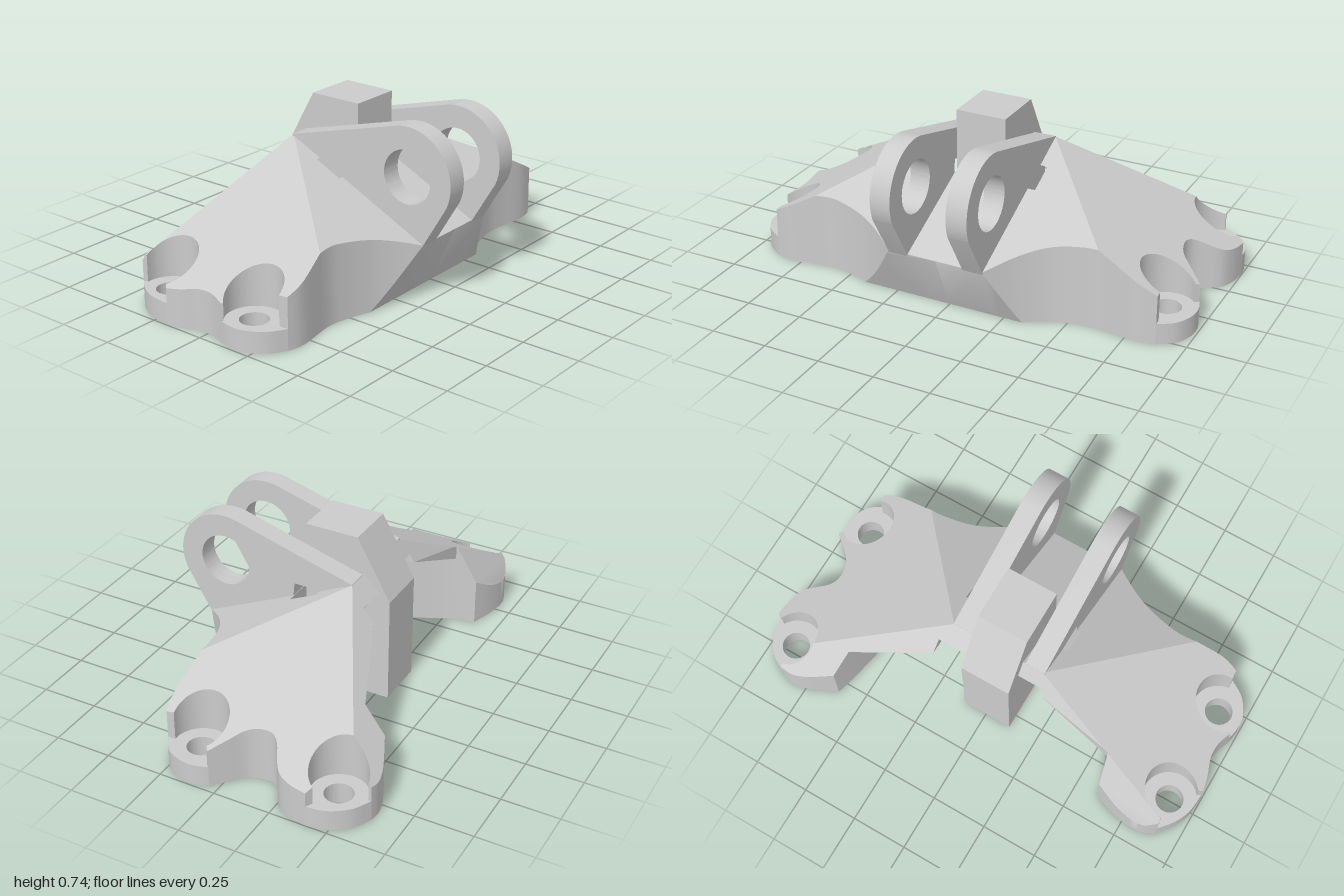
import * as THREE from 'three';
import { toCreasedNormals } from 'three/addons/utils/BufferGeometryUtils.js';

const V = (x, y) => new THREE.Vector2(x, y);
const material = new THREE.MeshStandardMaterial({ color: 0xcccccc });
const pts = (list) => list.map(([x, z]) => V(x, z));
const smooth = (list, n = 4) => new THREE.SplineCurve(pts(list)).getPoints((list.length - 1) * n);
// planes are [a, b, c], meaning y = a + b x + c z
const at = (p, v) => p[0] + p[1] * v.x + p[2] * v.y;

// keep the part of an open or closed point list where f >= 0
function clip(poly, f) {
  const out = [];
  poly.forEach((p, i) => {
    const q = poly[(i + 1) % poly.length], a = f(p), b = f(q);
    if (a >= 0) out.push(p);
    if ((a > 0 && b < 0) || (a < 0 && b > 0)) out.push(p.clone().lerp(q, a / (a - b)));
  });
  return out;
}

// solid over a plan outline, between the highest of the bottom planes and the lowest of the top planes
function slab(contour, tops, bottoms, holes = []) {
  const top = (v) => Math.min(...tops.map((p) => at(p, v)));
  const bot = (v) => Math.min(top(v), Math.max(...bottoms.map((p) => at(p, v))));
  const cuts = [];
  for (const set of [tops, bottoms])
    set.forEach((p, i) => set.slice(i + 1).forEach((q) => cuts.push((v) => at(p, v) - at(q, v))));
  const pos = [];
  const tri = (...c) => c.forEach(([v, y]) => pos.push(v.x, y, v.y));

  contour = contour.filter((p, i) => p.distanceTo(contour[(i + 1) % contour.length]) > 1e-4);
  if (THREE.ShapeUtils.isClockWise(contour)) contour.reverse();
  holes.forEach((h) => { if (!THREE.ShapeUtils.isClockWise(h)) h.reverse(); });
  const all = [contour, ...holes].flat();

  // top and bottom skins, folded along the lines where planes meet
  for (const f of THREE.ShapeUtils.triangulateShape(contour, holes)) {
    let t = f.map((i) => all[i]);
    if (THREE.ShapeUtils.area(t) < 0) t.reverse();
    let parts = [t];
    for (const c of cuts) parts = parts.flatMap((p) => [clip(p, c), clip(p, (v) => -c(v))]);
    for (const p of parts) {
      for (let i = 1; i < p.length - 1; i++) {
        const [a, b, c] = [p[0], p[i], p[i + 1]];
        if (Math.abs(THREE.ShapeUtils.area([a, b, c])) < 1e-9) continue;
        tri([a, top(a)], [c, top(c)], [b, top(b)]);
        tri([a, bot(a)], [b, bot(b)], [c, bot(c)]);
      }
    }
  }
  // side walls
  for (const ring of [contour, ...holes]) {
    ring.forEach((p, i) => {
      const q = ring[(i + 1) % ring.length], stops = [0, 1];
      for (const c of cuts) {
        const a = c(p), b = c(q);
        if (a * b < 0) stops.push(a / (a - b));
      }
      stops.sort((a, b) => a - b);
      for (let k = 0; k < stops.length - 1; k++) {
        const u = p.clone().lerp(q, stops[k]), w = p.clone().lerp(q, stops[k + 1]);
        tri([u, bot(u)], [u, top(u)], [w, top(w)]);
        tri([u, bot(u)], [w, top(w)], [w, bot(w)]);
      }
    });
  }
  const g = new THREE.BufferGeometry();
  g.setAttribute('position', new THREE.Float32BufferAttribute(pos, 3));
  return toCreasedNormals(g, 0.5);
}

// inner wall of a bolt pocket, from the first to the last point of the open outer edge
function pocketArc(edge, c, r) {
  const ang = (p) => Math.atan2(p.y - c.y, p.x - c.x);
  const turn = (a) => THREE.MathUtils.euclideanModulo(a, 2 * Math.PI);
  const a0 = ang(edge[0]);
  let sweep = turn(ang(edge[edge.length - 1]) - a0);
  if (turn(ang(edge[edge.length >> 1]) - a0) < sweep) sweep -= 2 * Math.PI;
  return Array.from({ length: 33 }, (_, i) => {
    const a = a0 + (sweep * i) / 32;
    return V(c.x + r * Math.cos(a), c.y + r * Math.sin(a));
  });
}

const wings = [
  {
    name: 'leftWing', side: 1, back: 0.99,
    front: [[0.21, 0.493], [0.32, 0.385], [0.43, 0.315], [0.55, 0.284], [0.64, 0.281], [0.79, 0.297], [0.88, 0.285]],
    lugA: [[0.88, 0.285], [0.95, 0.235], [0.985, 0.16], [0.987, 0.09], [0.97, 0.04]],
    waist: [[0.97, 0.04], [0.91, -0.015], [0.85, -0.075], [0.83, -0.15], [0.855, -0.205], [0.95, -0.265], [0.985, -0.33], [0.998, -0.41]],
    lugB: [[0.998, -0.41], [0.985, -0.49], [0.93, -0.57], [0.85, -0.615]],
    rear: [[0.85, -0.615], [0.8, -0.62], [0.73, -0.603], [0.615, -0.55]],
    inner: [[0.59, -0.45], [0.49, 0.06]],
    bolts: [[0.868, 0.135], [0.868, -0.485]],
    slot: 0.245, lip: -0.31, crown: -0.26, ceiling: 0.461,
  },
  {
    name: 'rightWing', side: -1, back: 1.85,
    front: [[-0.22, 0.493], [-0.32, 0.422], [-0.41, 0.375], [-0.52, 0.34], [-0.62, 0.328], [-0.79, 0.355], [-0.87, 0.342]],
    lugA: [[-0.87, 0.342], [-0.94, 0.295], [-0.985, 0.22], [-0.99, 0.15], [-0.978, 0.1]],
    waist: [[-0.978, 0.1], [-0.955, 0.03], [-0.955, -0.04], [-0.98, -0.115], [-0.995, -0.18]],
    lugB: [[-0.995, -0.18], [-0.985, -0.27], [-0.95, -0.345], [-0.9, -0.405]],
    rear: [[-0.9, -0.405], [-0.85, -0.43], [-0.79, -0.435], [-0.7, -0.42], [-0.605, -0.39]],
    inner: [[-0.585, -0.295], [-0.41, 0.075]],
    bolts: [[-0.885, 0.185], [-0.885, -0.265]],
    slot: 0.24, lip: -0.25, crown: -0.23, ceiling: 0.469,
  },
];

export function createModel() {
  const model = new THREE.Group();
  const add = (name, geometry, parent = model) => {
    const mesh = new THREE.Mesh(geometry, material);
    mesh.name = name;
    parent.add(mesh);
  };
  const ground = [0, 0, 0];

  for (const w of wings) {
    const s = w.side, group = new THREE.Group();
    group.name = w.name;
    model.add(group);
    const roof = [
      [0.58 - 0.47 * 0.19, 0, -0.47],
      [0.58 + 0.538 * 0.21, -0.538 * s, 0],
      [0.58 + w.back * 0.19, 0, w.back],
    ];
    const edges = [smooth(w.lugA), smooth(w.lugB)];
    const arcs = edges.map((e, i) => pocketArc(e, V(...w.bolts[i]), 0.118));

    // solid wing with the bolt pockets bitten out and an overhanging front face
    const body = [
      V(0, 0.493), ...smooth(w.front), ...arcs[0], ...smooth(w.waist), ...arcs[1],
      ...smooth(w.rear), ...pts(w.inner), V(s * w.slot, 0.08), V(0, 0.08),
    ];
    add('wingBody', slab(body, roof, [ground, [-0.815, 0, 2.174]]), group);

    // low bolt seats with through holes
    edges.forEach((e, i) => {
      const c = w.bolts[i];
      const hole = new THREE.Path().absarc(c[0], c[1], 0.06, 0, Math.PI * 2).getPoints(32).slice(0, -1);
      add('boltSeat', slab([...e, ...arcs[i].slice().reverse()], [[0.093, 0, 0]], [ground], [hole]), group);
    });

    // thin roof over the hollow underside
    const ceiling = [w.ceiling + 0.45 * w.slot + 0.12 * w.lip, -0.45 * s, -0.12];
    const shell = [V(s * w.slot, 0.08), ...pts(w.inner).reverse(), V(s * w.slot, w.lip)];
    add('wingRoof', slab(shell, roof, [ceiling]), group);

    // crown bridging the slot around the centre block
    const crown = [V(0, -0.04), V(s * w.slot, -0.04), V(s * w.slot, w.crown), V(0, w.crown)];
    add('crown', slab(crown, roof, [[0.51, 0, 0]]), group);
  }

  // side profiles drawn as (z, y) and extruded across x
  const across = (shape, x0, x1) => {
    const g = new THREE.ExtrudeGeometry(shape, { depth: x1 - x0, bevelEnabled: false, curveSegments: 40 });
    g.rotateY(-Math.PI / 2).translate(x1, 0, 0);
    return toCreasedNormals(g, 0.5);
  };

  // pair of clevis ears
  const ear = new THREE.Shape();
  ear.moveTo(0.46, 0.19).lineTo(0.495, 0.26);
  ear.absarc(0.41, 0.53, 0.212, -0.43, 1.84, false);
  ear.lineTo(-0.19, 0.582).lineTo(-0.19, 0.512).lineTo(0.078, 0.512).lineTo(0.09, 0.38);
  ear.holes.push(new THREE.Path().absarc(0.41, 0.53, 0.115, 0, Math.PI * 2, true));
  add('leftEar', across(ear, 0.12, 0.212));
  add('rightEar', across(ear, -0.22, -0.13));

  // centre block with a sloped back
  const block = new THREE.Shape(pts([[0.08, 0], [0.08, 0.743], [-0.16, 0.743], [-0.31, 0.475], [-0.31, 0]]));
  add('centreBlock', across(block, -0.118, 0.108));
  return model;
}
